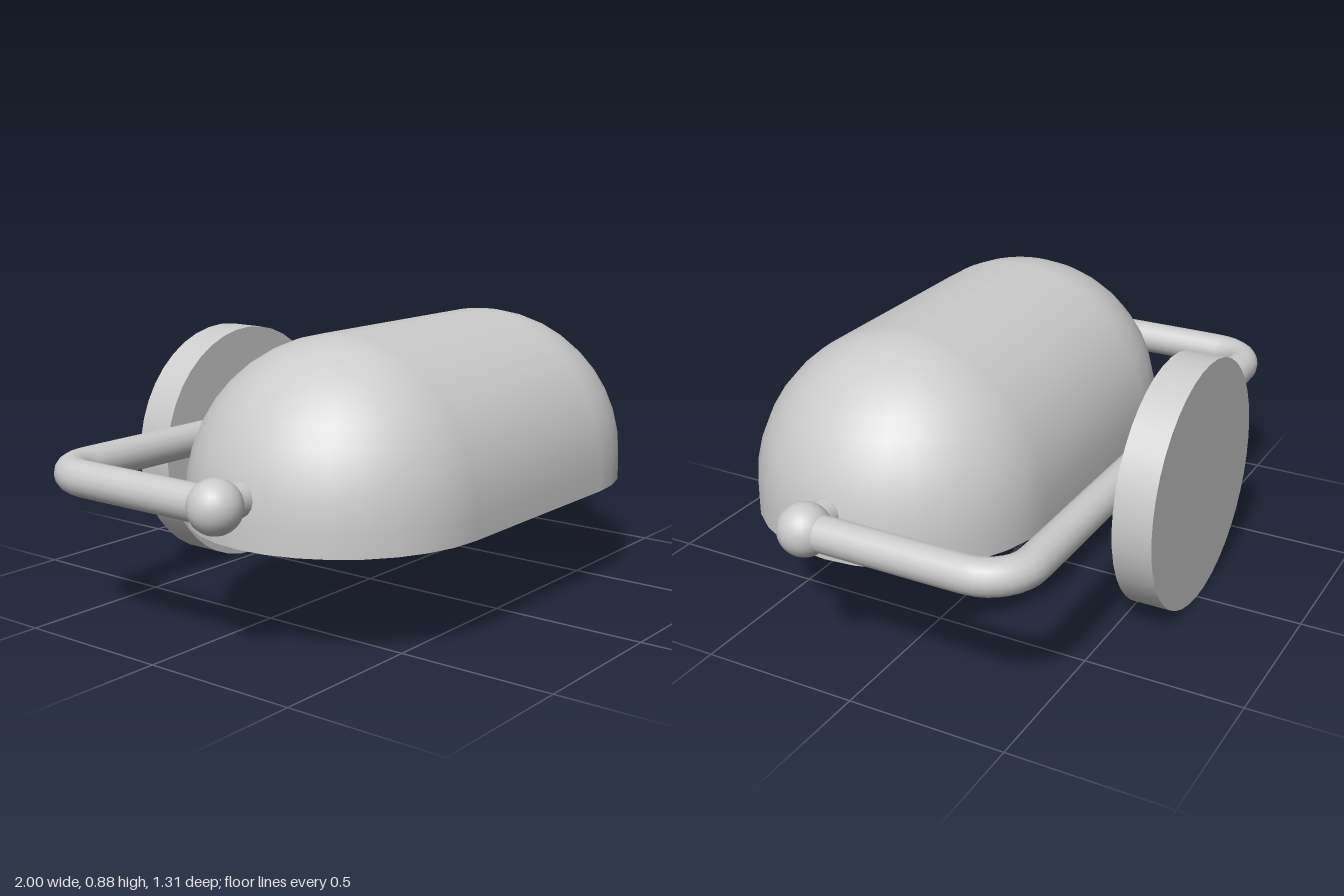
import * as THREE from 'three';

const grey = new THREE.MeshStandardMaterial({ color: 0xcccccc });
const ARM_Y = 0.47, SHADE_Z = 0.18, HALF_STRAIGHT = 0.36;

function add(parent, name, geometry, x = 0, y = 0, z = 0) {
  const mesh = new THREE.Mesh(geometry, grey);
  mesh.name = name;
  mesh.position.set(x, y, z);
  parent.add(mesh);
  return mesh;
}

// Sweeps a [radius, height] profile round a stadium-shaped plan
function stadiumSurface(profile, steps = 16) {
  const pos = [], index = [], n = 2 * (steps + 1);
  for (const [r, y] of profile) {
    for (const side of [1, -1]) {
      for (let k = 0; k <= steps; k++) {
        const t = (k / steps - 0.5) * Math.PI + (side < 0 ? Math.PI : 0);
        pos.push(side * HALF_STRAIGHT + r * Math.cos(t), y, r * Math.sin(t));
      }
    }
  }
  for (let i = 0; i < profile.length - 1; i++) {
    for (let j = 0; j < n; j++) {
      const a = i * n + j, c = i * n + (j + 1) % n, b = a + n, d = c + n;
      index.push(a, b, c, c, b, d);
    }
  }
  const g = new THREE.BufferGeometry();
  g.setAttribute('position', new THREE.Float32BufferAttribute(pos, 3));
  g.setIndex(index);
  g.computeVertexNormals();
  return g;
}

// Straight skirt followed by a quarter-round dome
function domeProfile(radius, top) {
  const p = [[radius, 0.33]];
  for (let i = 0; i <= 10; i++) {
    const t = i / 10 * Math.PI / 2;
    p.push([radius * Math.cos(t), 0.4 + (top - 0.4) * Math.sin(t)]);
  }
  return p;
}

// Turned part whose axis lies along x; profile is [x, radius]
function turnedX(profile, segments) {
  const g = new THREE.LatheGeometry(profile.map(([x, r]) => new THREE.Vector2(r, x)), segments);
  return g.rotateZ(-Math.PI / 2);
}

export function createModel() {
  const model = new THREE.Group();
  model.name = 'wallLamp';

  // Hollow shade: outer skin, inner skin and flat rim
  const shade = new THREE.Group();
  shade.name = 'shade';
  shade.position.z = SHADE_Z;
  model.add(shade);
  add(shade, 'shadeOuter', stadiumSurface(domeProfile(0.475, 0.88)));
  add(shade, 'shadeInner', stadiumSurface(domeProfile(0.42, 0.825).reverse()));
  add(shade, 'shadeRim', stadiumSurface([[0.42, 0.33], [0.475, 0.33]]));

  // Wall plate
  add(model, 'wallPlate', new THREE.CylinderGeometry(0.4, 0.4, 0.126, 40).rotateX(Math.PI / 2), 0, 0.4, -0.592);

  // Bent bracket with rounded corners
  const X = 0.92, Z = -0.475, R = 0.13;
  const v = (x, z) => new THREE.Vector3(x, ARM_Y, z);
  const pts = [v(-X, SHADE_Z), v(-X, 0)];
  for (let i = 0; i <= 8; i++) {
    const t = i / 8 * Math.PI / 2;
    pts.push(v(-X + R - R * Math.cos(t), Z + R - R * Math.sin(t)));
  }
  pts.push(v(-0.4, Z));
  const mirrored = pts.map(p => v(-p.x, p.z)).reverse();
  const path = new THREE.CatmullRomCurve3([...pts, ...mirrored], false, 'centripetal');
  add(model, 'bracket', new THREE.TubeGeometry(path, 120, 0.055, 16));

  // Pivot knobs and pins on both ends
  for (const s of [-1, 1]) {
    add(model, 'pivotKnob', new THREE.SphereGeometry(0.08, 24, 16), s * X, ARM_Y, SHADE_Z);
    add(model, 'pivotPin', new THREE.CylinderGeometry(0.05, 0.05, 0.12, 16).rotateZ(Math.PI / 2), s * 0.84, ARM_Y, SHADE_Z);
  }

  // Bulb inside the shade
  add(model, 'bulb', turnedX([[-0.26, 0.09], [-0.2, 0.1], [-0.1, 0.145], [0, 0.195], [0.09, 0.205],
    [0.17, 0.195], [0.28, 0.14], [0.33, 0.07], [0.345, 0]], 12), 0, ARM_Y, SHADE_Z);

  // Lamp holder: collar, barrel and end stem
  add(model, 'socketCollar', turnedX([[-0.3, 0.11], [-0.28, 0.13], [-0.23, 0.13], [-0.2, 0.11], [-0.2, 0]], 20), 0, ARM_Y, SHADE_Z);
  add(model, 'socketBarrel', new THREE.CylinderGeometry(0.12, 0.12, 0.35, 20).rotateZ(Math.PI / 2), -0.455, ARM_Y, SHADE_Z);
  add(model, 'socketStem', new THREE.CylinderGeometry(0.075, 0.075, 0.18, 16).rotateZ(Math.PI / 2), -0.7, ARM_Y, SHADE_Z);

  return model;
}
